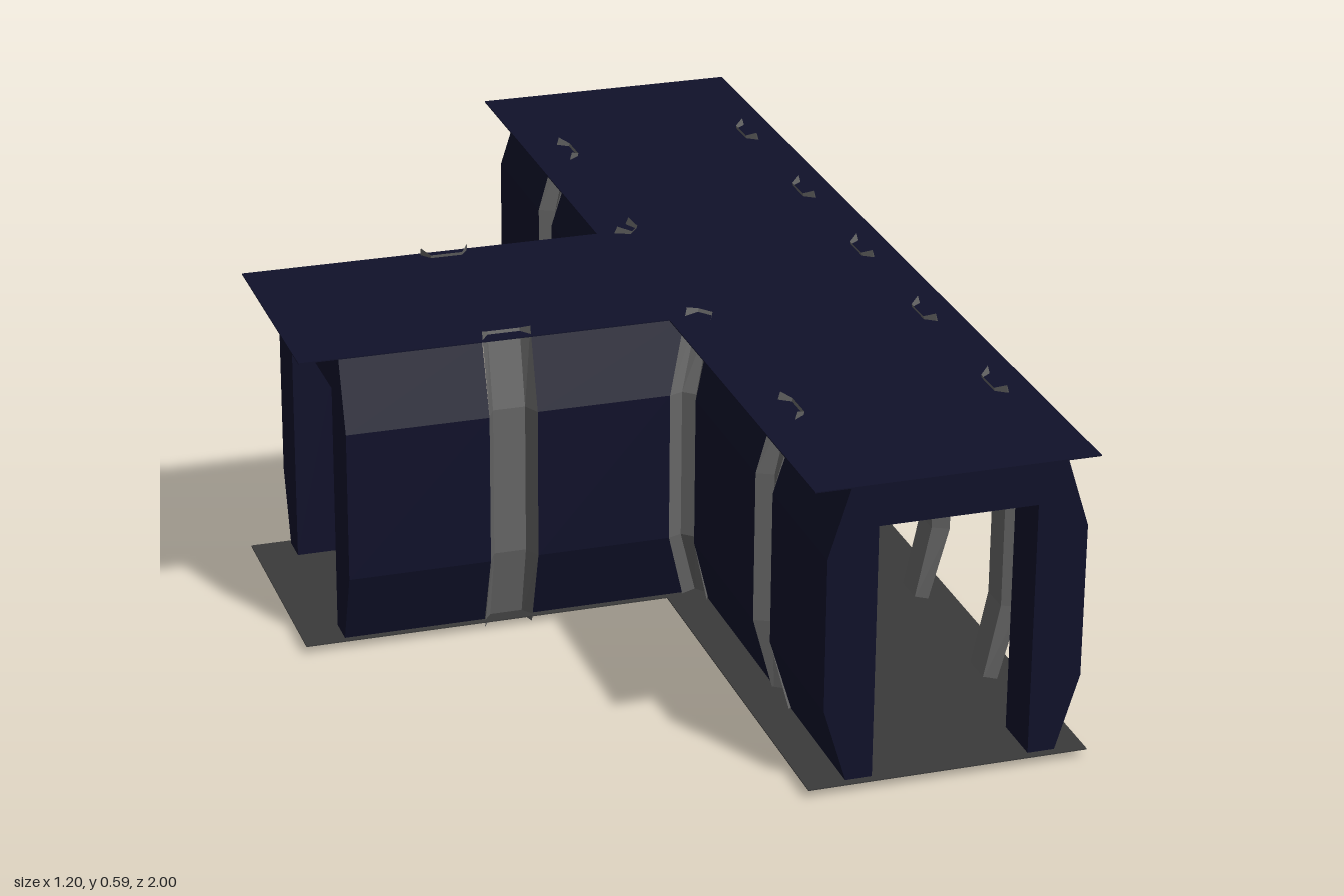
import * as THREE from 'three';

const hullMat = new THREE.MeshStandardMaterial({ color: 0x10112a });
hullMat.name = 'navy hull';
const floorMat = new THREE.MeshStandardMaterial({ color: 0x3a3a3a });
floorMat.name = 'dark grey floor';
const ribMat = new THREE.MeshStandardMaterial({ color: 0x666666, side: THREE.DoubleSide });
ribMat.name = 'grey rib';

const BOT = 0.017, TOP = 0.573, LOW = 0.155, HIGH = 0.44, LINTEL = 0.49;
const CX = 0.3525;                              // centre line of the main corridor
const MAIN = { mid: 0.2355, end: 0.193, door: 0.1435 };
const BRANCH = { mid: 0.255, end: 0.21, door: 0.155 };
const LEVELS = [BOT, LOW, HIGH, TOP];
const isEnd = (i) => i === 0 || i === 3;

// Flat-shaded surface through rows of points (rows go upward)
function loft(rows) {
  const pos = [];
  for (let i = 0; i < rows.length - 1; i++) {
    for (let j = 0; j < rows[i].length - 1; j++) {
      const a = rows[i][j], b = rows[i][j + 1], c = rows[i + 1][j + 1], d = rows[i + 1][j];
      pos.push(...a, ...b, ...c, ...a, ...c, ...d);
    }
  }
  const g = new THREE.BufferGeometry();
  g.setAttribute('position', new THREE.Float32BufferAttribute(pos, 3));
  g.computeVertexNormals();
  return g;
}

export function createModel() {
  const model = new THREE.Group();
  const add = (name, geo, mat) => {
    const m = new THREE.Mesh(geo, mat);
    m.name = name;
    model.add(m);
    return m;
  };

  // A wall point: t along the wall, out from the corridor's centre line
  const mainPt = (side) => (t, y, out) => [CX + side * out, y, t];
  const branchPt = (side) => (t, y, out) => [t, y, side * out];

  // Wall panel; from(i) and to(i) give its ends at each level
  const panel = (name, pt, prof, from, to, flip) => {
    const rows = LEVELS.map((y, i) => {
      const out = isEnd(i) ? prof.end : prof.mid;
      const row = [pt(from(i), y, out), pt(to(i), y, out)];
      return flip ? row.reverse() : row;
    });
    add(name, loft(rows), hullMat);
  };

  // Recessed channel between two panels, its tips passing roof and floor
  const rib = (name, pt, prof, t) => {
    const rows = LEVELS.map((y, i) => {
      const out = isEnd(i) ? prof.end : prof.mid;
      const inset = isEnd(i) ? 0.018 : 0.03;
      const tip = i === 0 ? -1 : i === 3 ? 1 : 0;
      return [[-0.045, 0, 0.017], [-0.03, inset, 0.008], [0.03, inset, 0.008], [0.045, 0, 0.017]]
        .map(([dt, d, up]) => pt(t + dt, y + tip * up, out - d));
    });
    add(name, loft(rows), ribMat);
  };

  // Runs of panels with a rib in every gap
  const wall = (name, pt, prof, from, to, ribs, flip) => {
    let start = from;
    ribs.forEach((t) => {
      panel(name + 'Panel', pt, prof, start, () => t - 0.045, flip);
      rib(name + 'Rib', pt, prof, t);
      start = () => t + 0.045;
    });
    panel(name + 'Panel', pt, prof, start, to, flip);
  };

  // Main corridor walls and the branch walls
  const END = 0.985;
  const cornerZ = (i) => (isEnd(i) ? 0.25 : 0.29);
  const cornerX = (i) => (isEnd(i) ? 0.125 : 0.08);
  wall('outerWall', mainPt(1), MAIN, () => -END, () => END, [-0.665, -0.325, 0, 0.325, 0.665], true);
  wall('frontInnerWall', mainPt(-1), MAIN, cornerZ, () => END, [0.665], false);
  wall('backInnerWall', mainPt(-1), MAIN, () => -END, (i) => -cornerZ(i), [-0.665], false);
  wall('branchFrontWall', branchPt(1), BRANCH, () => -0.525, cornerX, [-0.215], false);
  wall('branchBackWall', branchPt(-1), BRANCH, () => -0.525, cornerX, [-0.215], true);

  // Diagonal channels where the branch meets the main corridor
  for (const s of [1, -1]) {
    const rows = LEVELS.map((y, i) => {
      const tip = i === 0 ? -1 : i === 3 ? 1 : 0;
      const ax = cornerX(i), az = isEnd(i) ? BRANCH.end : BRANCH.mid;
      const bx = CX - (isEnd(i) ? MAIN.end : MAIN.mid), bz = cornerZ(i);
      return [[ax, az, 0.017], [ax + 0.026, az - 0.01, 0.008], [bx + 0.01, bz - 0.026, 0.008], [bx, bz, 0.017]]
        .map(([x, z, up]) => [x, y + tip * up, s * z]);
    });
    add('cornerRib', loft(rows), ribMat);
  }

  // Door frames: the corridor's outline with a doorway cut out
  const frame = (name, p) => {
    const pts = [
      [-p.end, BOT], [-p.door, BOT], [-p.door, LINTEL], [p.door, LINTEL], [p.door, BOT], [p.end, BOT],
      [p.mid, LOW], [p.mid, HIGH], [p.end, TOP], [-p.end, TOP], [-p.mid, HIGH], [-p.mid, LOW],
    ].map(([x, y]) => new THREE.Vector2(x * 0.998, y));
    const geo = new THREE.ExtrudeGeometry(new THREE.Shape(pts), { depth: 0.1, bevelEnabled: false });
    return add(name, geo, hullMat);
  };
  frame('frontDoorFrame', MAIN).position.set(CX, 0, END - 0.1);
  frame('backDoorFrame', MAIN).position.set(CX, 0, -END);
  const side = frame('branchDoorFrame', BRANCH);
  side.rotation.y = -Math.PI / 2;
  side.position.x = -0.425;

  // T-shaped roof and floor plates
  const tee = new THREE.Shape([
    [0.088, -1], [0.6, -1], [0.6, 1], [0.088, 1], [0.088, 0.222], [-0.6, 0.222], [-0.6, -0.222], [0.088, -0.222],
  ].map(([x, y]) => new THREE.Vector2(x, y)));
  const plate = new THREE.ExtrudeGeometry(tee, { depth: 0.002, bevelEnabled: false });
  plate.rotateX(-Math.PI / 2);
  add('roof', plate, hullMat).position.y = TOP;
  add('floor', plate, floorMat).position.y = BOT - 0.002;

  return model;
}
